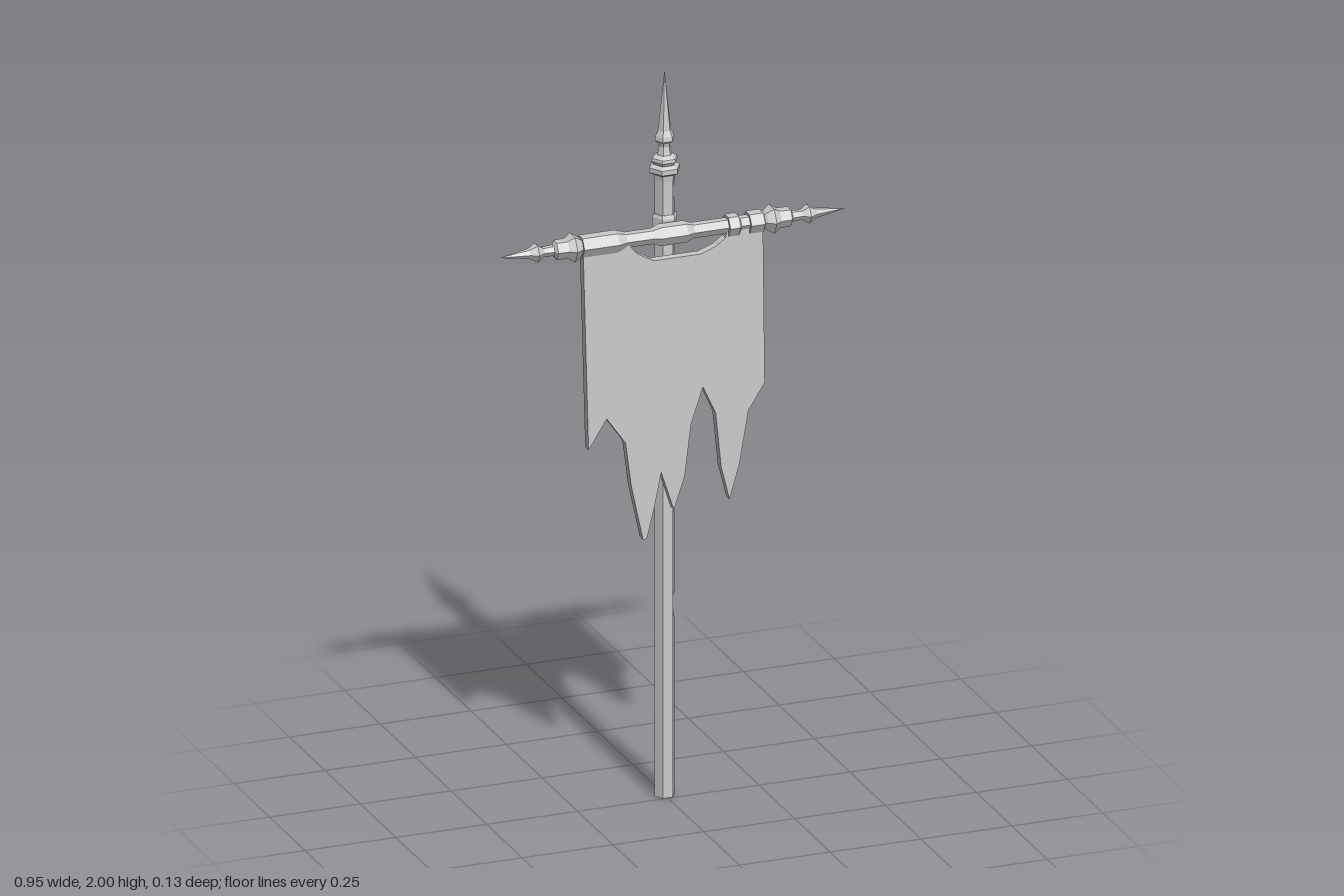
import * as THREE from 'three';

const POLE_Z = -0.027, BAR_Z = 0.026, BAR_Y = 1.568, R = 0.028;

const grey = () => new THREE.MeshStandardMaterial({ color: 0xcccccc, flatShading: true });

function part(name, geometry, parent) {
  const mesh = new THREE.Mesh(geometry, grey());
  mesh.name = name;
  parent.add(mesh);
  return mesh;
}

// Six-sided turned shape from [radius, height] pairs, bottom to top
const turned = (pairs, phase = 0) =>
  new THREE.LatheGeometry(pairs.map(([r, y]) => new THREE.Vector2(r, y)), 6, phase);

// Pole whose corner edges are pushed in at a few worn spots
function chippedPole() {
  const chips = [ // height, corner direction (x, z), depth, half length
    [0.13, -0.5, -0.866, 0.012, 0.08],
    [0.52, 1, 0, 0.014, 0.04],
    [0.94, 1, 0, 0.007, 0.12],
    [1.66, 1, 0, 0.013, 0.025],
  ];
  const profile = [[0, 0], [R, 0]];
  for (const [y, , , , h] of chips) profile.push([R, y - h], [R, y], [R, y + h]);
  profile.push([R, 1.72], [0, 1.72]);
  const geo = turned(profile, Math.PI / 2);
  const p = geo.attributes.position;
  for (let i = 0; i < p.count; i++) {
    for (const [y, cx, cz, depth] of chips) {
      const onCorner = p.getX(i) * cx + p.getZ(i) * cz > R * 0.95;
      if (onCorner && Math.abs(p.getY(i) - y) < 1e-4) {
        p.setX(i, p.getX(i) - cx * depth);
        p.setZ(i, p.getZ(i) - cz * depth);
      }
    }
  }
  geo.computeVertexNormals();
  return geo;
}

export function createModel() {
  const model = new THREE.Group();
  model.name = 'bannerStandard';

  // Upright pole with its finial and the clamp for the crossbar
  const upright = new THREE.Group();
  upright.name = 'upright';
  upright.position.z = POLE_Z;
  model.add(upright);
  part('pole', chippedPole(), upright);
  part('poleFinial', turned([
    [0, 1.7], [0.028, 1.7], [0.03, 1.715], [0.042, 1.722], [0.042, 1.735], [0.029, 1.742],
    [0.036, 1.752], [0.034, 1.76], [0.02, 1.768], [0.015, 1.79], [0.018, 1.8],
    [0.027, 1.808], [0.025, 1.82], [0.018, 1.835], [0, 2],
  ], Math.PI / 2), upright);
  part('poleClamp', turned([
    [0, 1.533], [0.03, 1.533], [0.034, 1.542], [0.034, 1.598], [0.03, 1.607], [0, 1.607],
  ], Math.PI / 2), upright);

  // Crossbar: one half profile mirrored about the middle
  const crossbar = new THREE.Group();
  crossbar.name = 'crossbarGroup';
  crossbar.position.set(0, BAR_Y, BAR_Z);
  crossbar.rotation.z = -Math.PI / 2;
  model.add(crossbar);
  const half = [
    [0.029, 0.035], [0.021, 0.055], [0.021, 0.25], [0.027, 0.256], [0.039, 0.274],
    [0.027, 0.292], [0.026, 0.322], [0.015, 0.328], [0.013, 0.355], [0.026, 0.374],
    [0.014, 0.394], [0, 0.476],
  ];
  const mirrored = half.map(([r, y]) => [r, -y]).reverse();
  part('crossbar', turned([...mirrored, ...half]), crossbar);

  // Cloth sleeves wrapped round the bar: start, end and slanted run-out
  const sleeves = [[-0.252, -0.155, 0.025], [0.15, 0.178, 0.006], [0.208, 0.246, 0]];
  for (const [a, b, taper] of sleeves) {
    part('clothSleeve', turned([[0, a], [0.03, a], [0.03, b], [0.022, b + taper], [0, b + taper]]), crossbar);
  }

  // Torn cloth
  const outline = [
    [-0.25, 1.565], [-0.235, 1.008], [-0.185, 1.087], [-0.133, 1.013], [-0.117, 0.89],
    [-0.085, 0.74], [-0.075, 0.74], [-0.055, 0.82], [-0.035, 0.918], [0, 0.81],
    [0.03, 0.9], [0.047, 1.04], [0.08, 1.137], [0.115, 1.06], [0.13, 0.91],
    [0.153, 0.817], [0.18, 0.91], [0.205, 1.055], [0.25, 1.125], [0.245, 1.57],
    [0.15, 1.57], [0.142, 1.54], [0.115, 1.52], [0.075, 1.505], [-0.055, 1.505],
    [-0.1, 1.53], [-0.135, 1.57],
  ].map(([x, y]) => new THREE.Vector2(x, y));
  const cloth = part('cloth', new THREE.ExtrudeGeometry(new THREE.Shape(outline),
    { depth: 0.024, bevelEnabled: false }), model);
  cloth.position.z = 0.016;

  return model;
}
